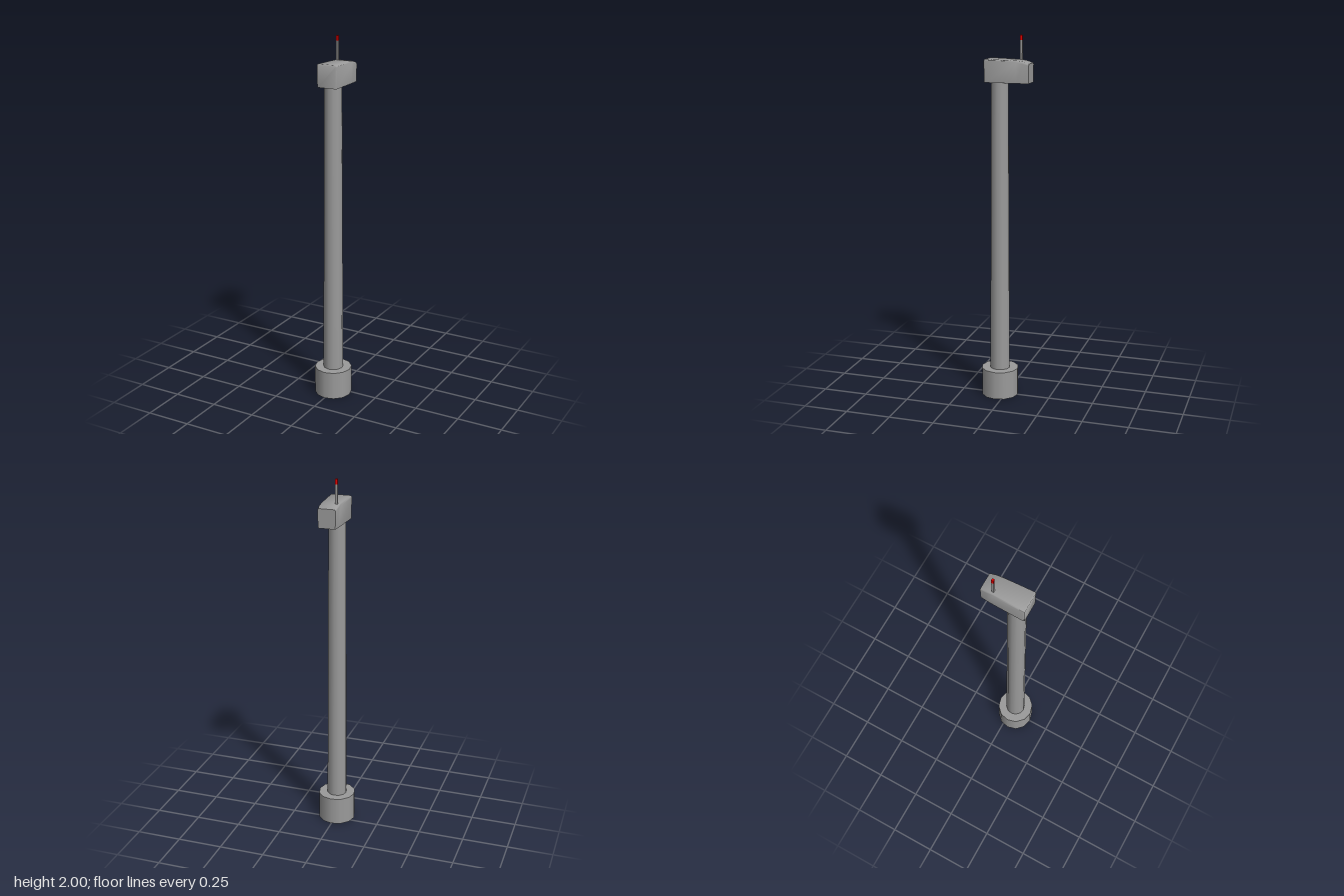
import * as THREE from 'three';
import { toCreasedNormals } from 'three/addons/utils/BufferGeometryUtils.js';

const AXIS_Z = 0.034; // tower axis
const NACELLE_BOTTOM = 1.755;

function add(group, name, geometry, material, x, y, z) {
  const mesh = new THREE.Mesh(geometry, material);
  mesh.name = name;
  mesh.position.set(x, y, z);
  group.add(mesh);
  return mesh;
}

// Cross-section with square lower corners and rounded upper ones, anticlockwise from +z
function section({ z, w, top, r }) {
  const pts = [[-w * 0.96, NACELLE_BOTTOM, z], [w * 0.96, NACELLE_BOTTOM, z]];
  for (const side of [1, -1]) {
    for (let i = 0; i <= 3; i++) {
      const a = ((side > 0 ? i : 3 - i) / 3) * Math.PI / 2;
      pts.push([side * (w - r + r * Math.cos(a)), top - r + r * Math.sin(a), z]);
    }
  }
  return pts;
}

// Skin over the sections, listed front to back, with both ends closed
function loft(sections) {
  const n = sections[0].length;
  const last = (sections.length - 1) * n;
  const index = [];
  for (let s = 0; s < last; s += n) {
    for (let i = 0; i < n; i++) {
      const a = s + i, b = s + (i + 1) % n;
      index.push(a, a + n, b + n, a, b + n, b);
    }
  }
  for (let i = 1; i < n - 1; i++) {
    index.push(0, i, i + 1, last, last + i + 1, last + i);
  }
  const geometry = new THREE.BufferGeometry();
  geometry.setAttribute('position', new THREE.Float32BufferAttribute(sections.flat(2), 3));
  geometry.setIndex(index);
  return toCreasedNormals(geometry, 0.9);
}

export function createModel() {
  const model = new THREE.Group();
  model.name = 'turbineTower';
  const grey = new THREE.MeshStandardMaterial({ color: 0x9b9b9b });
  const openGrey = new THREE.MeshStandardMaterial({ color: 0x9b9b9b, side: THREE.DoubleSide });
  const red = new THREE.MeshStandardMaterial({ color: 0xf00000 });

  // Foundation: hollow underneath, so wall and top only
  add(model, 'foundationWall', new THREE.CylinderGeometry(0.103, 0.103, 0.157, 12, 1, true), openGrey, 0, 0.0785, AXIS_Z);
  add(model, 'foundationTop', new THREE.CircleGeometry(0.103, 12), openGrey, 0, 0.157, AXIS_Z).rotation.x = -Math.PI / 2;

  // Tapered tower
  add(model, 'tower', new THREE.CylinderGeometry(0.047, 0.055, 1.603, 12, 1, true), openGrey, 0, 0.9585, AXIS_Z);

  // Nacelle: softened front edge, sides and roof drawing in toward the back
  const nacelle = loft([
    { z: 0.105, w: 0.054, top: 1.872, r: 0.006 },
    { z: 0.103, w: 0.057, top: 1.875, r: 0.008 },
    { z: 0.098, w: 0.059, top: 1.877, r: 0.009 },
    { z: -0.07, w: 0.054, top: 1.873, r: 0.011 },
    { z: -0.105, w: 0.052, top: 1.868, r: 0.011 },
    { z: -0.138, w: 0.048, top: 1.857, r: 0.009 },
  ].map(section));
  add(model, 'nacelle', nacelle, grey, 0, 0, 0);

  // Warning light on a thin mast
  add(model, 'lightMast', new THREE.BoxGeometry(0.012, 0.11, 0.012), grey, -0.033, 1.918, -0.075);
  add(model, 'warningLight', new THREE.BoxGeometry(0.012, 0.027, 0.012), red, -0.033, 1.9865, -0.075);

  return model;
}
